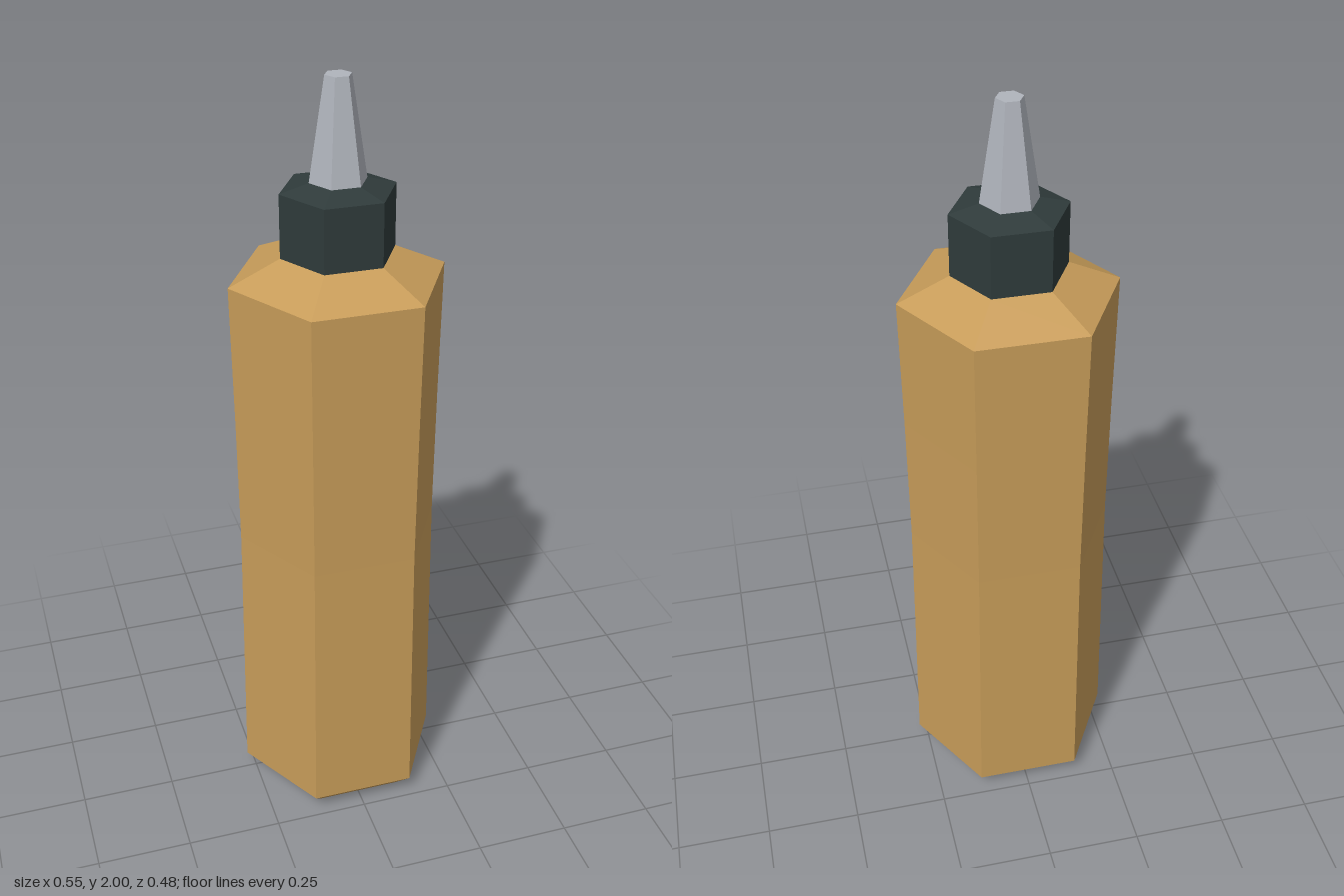
import * as THREE from 'three';

const material = (name, color) => {
  const m = new THREE.MeshStandardMaterial({ color });
  m.name = name;
  return m;
};

// Six-sided faceted solid from [radius, height] points, corners on the x axis
function hexPart(name, profile, mat) {
  const points = profile.map(([r, y]) => new THREE.Vector2(r, y));
  const geometry = new THREE.LatheGeometry(points, 6, Math.PI / 2).toNonIndexed();
  geometry.computeVertexNormals();
  const mesh = new THREE.Mesh(geometry, mat);
  mesh.name = name;
  return mesh;
}

export function createModel() {
  const amber = material('amber plastic', 0xc79c59);
  const dark = material('dark cap', 0x2f3b3b);
  const grey = material('grey nozzle', 0xb0b4bc);

  const group = new THREE.Group();
  group.name = 'squeezeBottle';

  // Bottle with chamfered base, slight waist and sloping shoulder
  group.add(hexPart('bottleBody', [
    [0, 0], [0.222, 0], [0.275, 0.05], [0.271, 0.42], [0.267, 0.8],
    [0.27, 1.16], [0.275, 1.51], [0.145, 1.57], [0, 1.57],
  ], amber));

  // Screw collar with bevelled top
  group.add(hexPart('collar', [
    [0, 1.57], [0.145, 1.57], [0.145, 1.73], [0.072, 1.75], [0, 1.75],
  ], dark));

  // Tapered nozzle
  group.add(hexPart('nozzle', [
    [0, 1.75], [0.072, 1.75], [0.033, 2], [0, 2],
  ], grey));

  return group;
}
